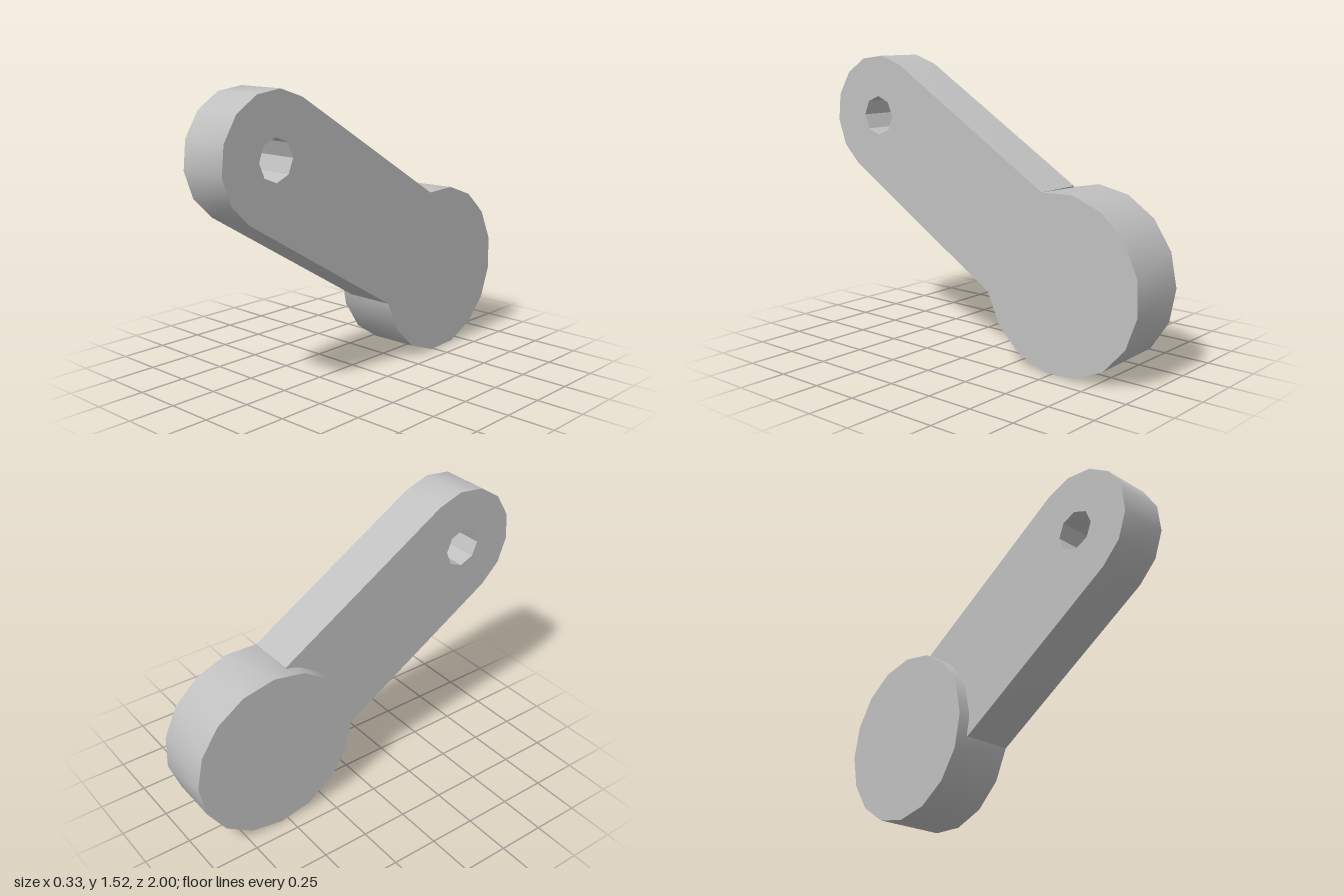
import * as THREE from 'three';
import { toCreasedNormals } from 'three/addons/utils/BufferGeometryUtils.js';

const RIGHT = -0.163, ARM_RIGHT = -0.1, LEFT = 0.163; // x planes
const BOSS = { z: -0.545, y: 0.455, r: 0.455 };
const TIP = { z: 0.68, y: 1.2, r: 0.323 };
const SIDES = 16, TWIST = 9.2, CREASE = 0.62;

// Point on a circle in the side plane; degrees run from +z towards +y
function onCircle(c, degrees, r = c.r) {
  const a = THREE.MathUtils.degToRad(degrees);
  return { z: c.z + r * Math.cos(a), y: c.y + r * Math.sin(a) };
}
const bossAngle = (i) => (i * 360) / SIDES;

// Lever arm: rounded tip with an octagonal hole, cut straight where it meets the boss
function armGeometry() {
  const flat = (p) => new THREE.Vector2(-p.z, p.y);
  const outline = [];
  for (let i = 0; i <= 7; i++) outline.push(flat(onCircle(TIP, 121.5 - (i * 180) / 7)));
  outline.push(flat(onCircle(BOSS, bossAngle(-1) + TWIST)));
  outline.push(flat(onCircle(BOSS, bossAngle(3) + TWIST)));
  const shape = new THREE.Shape(outline);
  const hole = [];
  for (let i = 0; i < 8; i++) hole.push(flat(onCircle(TIP, i * 45, 0.105)));
  shape.holes.push(new THREE.Path(hole));
  const geo = new THREE.ExtrudeGeometry(shape, { depth: LEFT - ARM_RIGHT, bevelEnabled: false });
  geo.rotateY(Math.PI / 2).translate(ARM_RIGHT, 0, 0);
  return toCreasedNormals(geo, CREASE);
}

// Round boss: slightly twisted drum whose left cap stops at the arm's end line
function bossGeometry() {
  const positions = [], index = [];
  for (const [x, turn] of [[RIGHT, 0], [LEFT, TWIST]]) {
    for (let i = 0; i < SIDES; i++) {
      const p = onCircle(BOSS, bossAngle(i) + turn);
      positions.push(x, p.y, p.z);
    }
  }
  const back = (i) => i % SIDES;
  const front = (i) => SIDES + (i % SIDES);
  for (let i = 0; i < SIDES; i++) {
    index.push(back(i), front(i), back(i + 1), front(i), front(i + 1), back(i + 1));
  }
  for (let i = 1; i < SIDES - 1; i++) index.push(back(0), back(i), back(i + 1));
  for (let i = 4; i < SIDES - 1; i++) index.push(front(3), front(i + 1), front(i));
  const geo = new THREE.BufferGeometry();
  geo.setAttribute('position', new THREE.Float32BufferAttribute(positions, 3));
  geo.setIndex(index);
  return toCreasedNormals(geo, CREASE);
}

export function createModel() {
  const grey = new THREE.MeshStandardMaterial({ color: 0xc0c0c0 });
  grey.name = 'light grey';
  const group = new THREE.Group();
  group.name = 'lever';
  for (const [name, geo] of [['arm', armGeometry()], ['boss', bossGeometry()]]) {
    const mesh = new THREE.Mesh(geo, grey);
    mesh.name = name;
    group.add(mesh);
  }
  return group;
}
